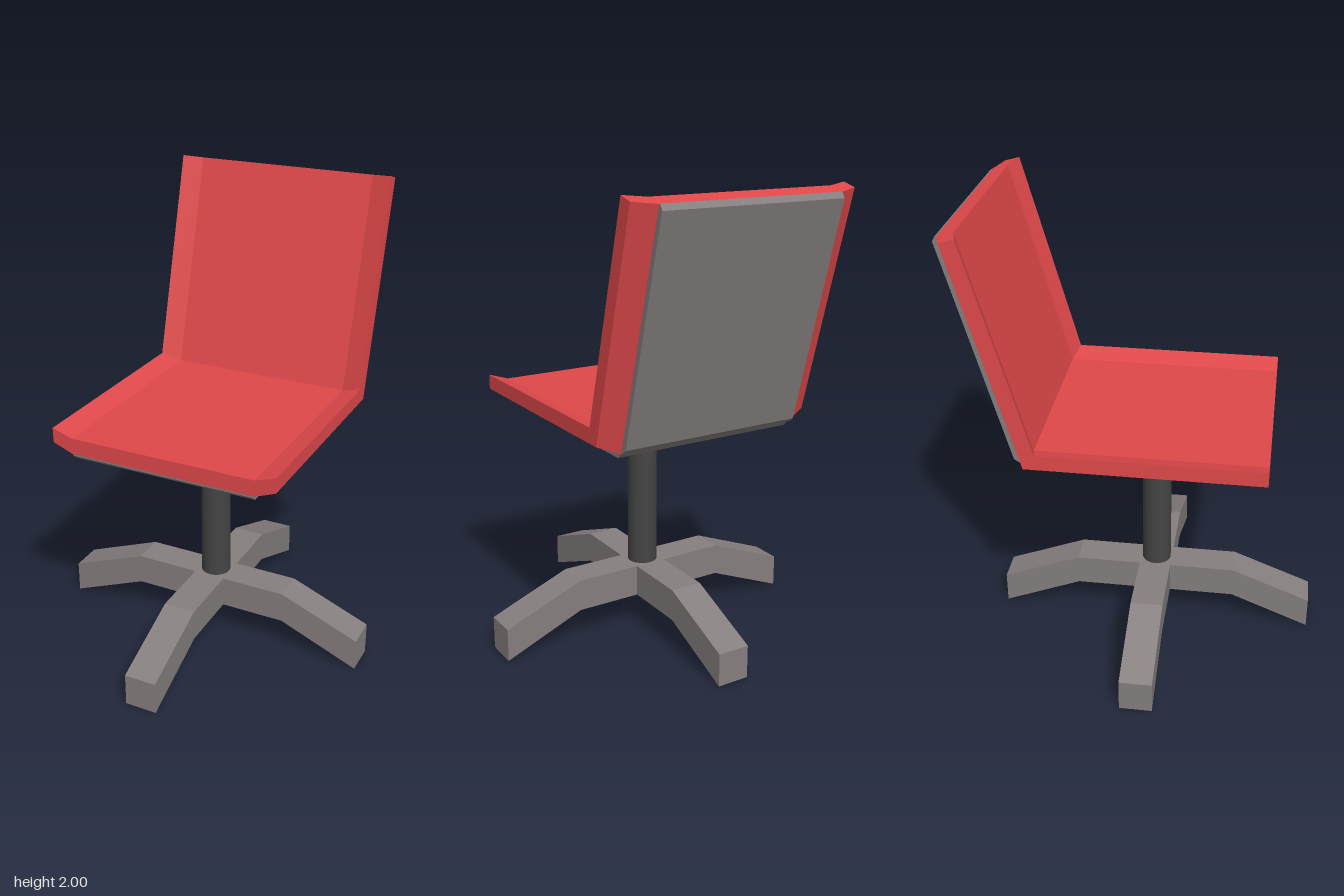
import * as THREE from 'three';

const RED = 0xe0484a, WARM_GREY = 0x857f7e, DARK = 0x444444;
const CENTRE_Z = 0.04; // axis of the pedestal

function part(name, geometry, color, flatShading = true) {
  const mesh = new THREE.Mesh(geometry, new THREE.MeshStandardMaterial({ color, flatShading }));
  mesh.name = name;
  return mesh;
}

// Prism from a side outline of [z, y] points, extruded across x
function sideProfile(points, width) {
  const shape = new THREE.Shape(points.map(([z, y]) => new THREE.Vector2(-z, y)));
  const g = new THREE.ExtrudeGeometry(shape, { depth: width, bevelEnabled: false });
  return g.translate(0, 0, -width / 2).rotateY(Math.PI / 2);
}

// Point [z, y] at a depth below the sitting surface: front edge, fold, top edge
const stations = [
  d => [0.54, 1.105 - d],
  d => [-0.39 - 0.77 * d, 1.105 - d],
  d => [-0.635 - 0.964 * d, 2 - 0.264 * d],
];

// Folded cushion with raised side edges, one section swept over the stations
function cushionGeometry() {
  const section = [
    [-0.5, 0], [-0.41, 0.03], [0.41, 0.03], [0.5, 0],
    [0.5, 0.065], [0.41, 0.1], [-0.41, 0.1], [-0.5, 0.065],
  ];
  const n = section.length, pos = [], idx = [];
  for (const at of stations) {
    for (const [x, d] of section) {
      const [z, y] = at(d);
      pos.push(x, y, z);
    }
  }
  const quad = (a, b, c, d) => idx.push(a, b, c, a, c, d);
  for (let s = 0; s < stations.length - 1; s++) {
    for (let i = 0; i < n; i++) {
      const j = (i + 1) % n;
      quad(s * n + i, s * n + j, (s + 1) * n + j, (s + 1) * n + i);
    }
  }
  // End caps
  const last = (stations.length - 1) * n;
  for (const [a, b, c, d] of [[0, 1, 6, 7], [1, 2, 5, 6], [2, 3, 4, 5]]) {
    quad(d, c, b, a);
    quad(last + a, last + b, last + c, last + d);
  }
  const g = new THREE.BufferGeometry();
  g.setAttribute('position', new THREE.Float32BufferAttribute(pos, 3));
  g.setIndex(idx);
  const flat = g.toNonIndexed();
  flat.computeVertexNormals();
  return flat;
}

export function createModel() {
  const chair = new THREE.Group();
  chair.name = 'swivelChair';

  chair.add(part('cushion', cushionGeometry(), RED));

  // Thin plates under the seat and behind the backrest, with chamfered ends
  chair.add(part('seatPlate', sideProfile(
    [[0.54, 1.005], [0.54, 0.998], [0.52, 0.98], [-0.44, 0.98], [-0.466, 1.005]], 0.81), WARM_GREY));
  chair.add(part('backPlate', sideProfile(
    [[-0.467, 1.008], [-0.478, 1.008], [-0.5, 1.025], [-0.75, 1.951], [-0.738, 1.972], [-0.731, 1.974]],
    0.81), WARM_GREY));

  // Pedestal: shallow flared mount and smooth column
  const pedestal = new THREE.Group();
  pedestal.name = 'pedestal';
  pedestal.position.z = CENTRE_Z;
  const mount = part('seatMount', new THREE.CylinderGeometry(0.28, 0.065, 0.037, 32), DARK, false);
  mount.position.y = 0.9625;
  const column = part('column', new THREE.CylinderGeometry(0.065, 0.065, 0.7, 32), DARK, false);
  column.position.y = 0.6;
  pedestal.add(mount, column);

  // Four-armed base around a square hub
  const hub = part('baseHub', new THREE.BoxGeometry(0.142, 0.14, 0.142), WARM_GREY);
  hub.position.y = 0.215;
  pedestal.add(hub);
  const armGeometry = sideProfile(
    [[0.071, 0.145], [0.36, 0.145], [0.713, 0], [0.713, 0.145], [0.36, 0.285], [0.071, 0.285]], 0.142);
  for (let i = 0; i < 4; i++) {
    const arm = part('baseArm', armGeometry, WARM_GREY);
    arm.rotation.y = i * Math.PI / 2;
    pedestal.add(arm);
  }
  chair.add(pedestal);
  return chair;
}
